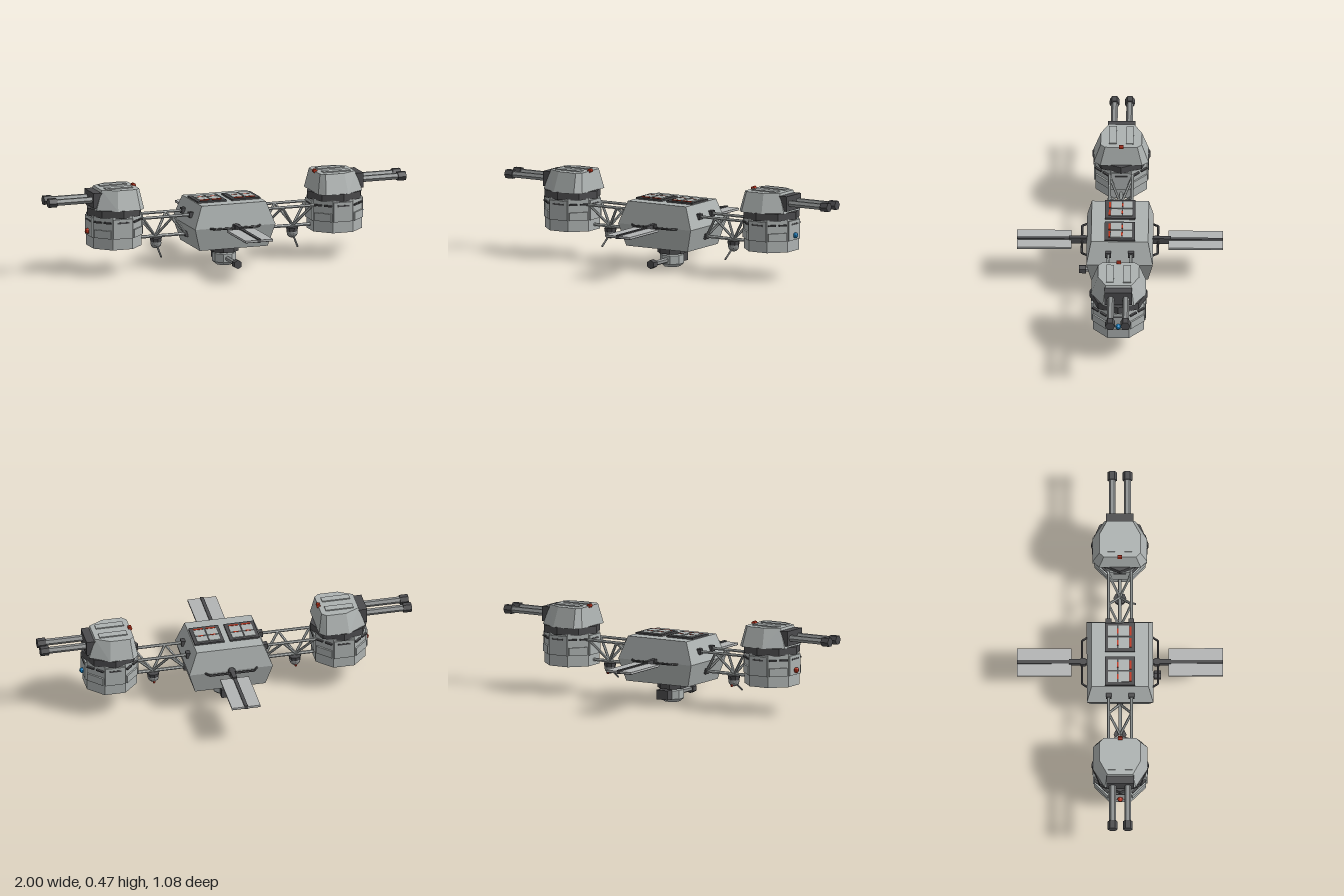
import * as THREE from 'three';
import { ConvexGeometry } from 'three/addons/geometries/ConvexGeometry.js';

const paint = (name, color) => {
  const m = new THREE.MeshStandardMaterial({ color, flatShading: true });
  m.name = name;
  return m;
};

export function createModel() {
  const hull = paint('hull grey', 0xadb2b1);
  const dark = paint('dark metal', 0x4b4b4d);
  const steel = paint('steel', 0x8f9292);
  const panel = paint('solar panel grey', 0xb2b4b4);
  const red = paint('red light', 0xc0341c);
  const blue = paint('blue light', 0x1a83c4);

  const V = (x, y, z) => new THREE.Vector3(x, y, z);
  const add = (parent, name, geo, mat, x = 0, y = 0, z = 0) => {
    const m = new THREE.Mesh(geo, mat);
    m.name = name;
    m.position.set(x, y, z);
    parent.add(m);
    return m;
  };
  const box = (p, name, mat, w, h, d, x, y, z) => add(p, name, new THREE.BoxGeometry(w, h, d), mat, x, y, z);
  // Straight rod between two points
  const rod = (p, name, mat, a, b, r, sides = 6) => {
    const dir = b.clone().sub(a);
    const c = a.clone().add(b).multiplyScalar(0.5);
    const m = add(p, name, new THREE.CylinderGeometry(r, r, dir.length(), sides), mat, c.x, c.y, c.z);
    m.quaternion.setFromUnitVectors(V(0, 1, 0), dir.normalize());
    return m;
  };
  // Octagonal prism, optionally with flat faces on the axes
  const octagon = (rTop, rBottom, h, flat) => {
    const g = new THREE.CylinderGeometry(rTop, rBottom, h, 8);
    return flat ? g.rotateY(Math.PI / 8) : g;
  };
  const group = (parent, name) => {
    const g = new THREE.Group();
    g.name = name;
    parent.add(g);
    return g;
  };
  const model = new THREE.Group();
  model.name = 'spaceStation';

  // Central hull: widest at mid height
  const core = group(model, 'centralHull');
  const corners = [];
  for (const [y, x, z] of [[0.115, 0.19, 0.15], [0.235, 0.225, 0.175], [0.355, 0.18, 0.15]])
    for (const sx of [-1, 1]) for (const sz of [-1, 1]) corners.push(V(sx * x, y, sz * z));
  add(core, 'hullShell', new ConvexGeometry(corners), hull);

  // Roof hatches with tiles and red markers
  for (const s of [-1, 1]) {
    const cx = s * 0.095;
    box(core, 'hatchFrame', dark, 0.16, 0.012, 0.16, cx, 0.358, 0);
    for (const i of [-1, 1]) {
      box(core, 'hatchTileRear', hull, 0.058, 0.006, 0.048, cx + i * 0.033, 0.365, -0.04);
      box(core, 'hatchTileFront', hull, 0.058, 0.006, 0.056, cx + i * 0.033, 0.365, 0.019);
      box(core, 'hatchMarker', red, 0.05, 0.006, 0.01, cx + i * 0.033, 0.365, 0.055);
      box(core, 'hatchMarkerSmall', red, 0.028, 0.003, 0.008, cx + i * 0.033, 0.368, -0.012);
    }
  }

  // Front and rear handrails with solar wings
  for (const s of [-1, 1]) {
    const y = 0.235;
    const rail = [V(-0.14, y, s * 0.17), V(-0.12, y, s * 0.2), V(0.12, y, s * 0.2), V(0.14, y, s * 0.17)];
    for (let i = 0; i < 3; i++) rod(core, 'handrail', dark, rail[i], rail[i + 1], 0.006);
    const wing = group(model, 'solarWing');
    box(wing, 'wingHinge', dark, 0.036, 0.03, 0.025, 0, y, s * 0.195);
    box(wing, 'wingArm', dark, 0.024, 0.034, 0.095, 0, y, s * 0.22);
    box(wing, 'wingSpar', dark, 0.018, 0.02, 0.287, 0, y, s * 0.3985);
    for (const i of [-1, 1]) {
      box(wing, 'wingPanel', panel, 0.068, 0.009, 0.287, i * 0.043, y, s * 0.3985);
      box(wing, 'wingPanelUnderside', dark, 0.066, 0.004, 0.285, i * 0.043, y - 0.006, s * 0.3985);
    }
  }

  // Belly turret
  const belly = group(model, 'bellyTurret');
  add(belly, 'turretNeck', octagon(0.077, 0.077, 0.04, true), dark, 0, 0.095, 0);
  const head = [[0, 0.003], [0.045, 0.003], [0.064, 0.02], [0.064, 0.065], [0.053, 0.077], [0, 0.077]];
  add(belly, 'turretHead', new THREE.LatheGeometry(head.map(p => new THREE.Vector2(...p)), 8).rotateY(Math.PI / 8), hull);
  rod(belly, 'turretBarrel', steel, V(0, 0.04, 0.05), V(0, 0.04, 0.185), 0.014);
  rod(belly, 'turretMuzzle', dark, V(0, 0.04, 0.18), V(0, 0.04, 0.215), 0.024);
  box(belly, 'turretCounterweight', dark, 0.07, 0.05, 0.045, 0, 0.047, -0.079);

  // Truss, sensor and gun pod on each side
  for (const s of [-1, 1]) {
    const truss = group(model, 'truss');
    const x0 = 0.195, x1 = 0.5, hi = 0.293, lo = 0.18;
    for (const z of [-0.06, 0.06]) {
      rod(truss, 'upperRail', hull, V(s * x0, hi, z), V(s * x1, hi, z), 0.008);
      box(truss, 'railSocket', dark, 0.03, 0.03, 0.03, s * 0.205, hi, z);
      const xs = [0.215, 0.305, 0.385, 0.475];
      for (let i = 0; i < 3; i++) {
        const up = i % 2;
        rod(truss, 'brace', hull, V(s * xs[i], up ? hi : lo, up ? z : 0),
          V(s * xs[i + 1], up ? lo : hi, up ? 0 : z), 0.007);
      }
    }
    rod(truss, 'lowerRail', hull, V(s * x0, lo, 0), V(s * x1, lo, 0), 0.009);
    box(truss, 'railSocket', dark, 0.03, 0.03, 0.03, s * 0.205, lo, 0);

    // Hanging sensor with whip antenna
    const sensor = group(model, 'sensor');
    add(sensor, 'sensorCap', new THREE.CylinderGeometry(0.034, 0.03, 0.022, 8), dark, s * 0.382, 0.16, 0);
    add(sensor, 'sensorBall', new THREE.IcosahedronGeometry(0.03, 1), steel, s * 0.382, 0.143, 0);
    rod(sensor, 'antenna', steel, V(s * 0.382, 0.13, 0.015), V(s * 0.382, 0.083, 0.083), 0.005);
    add(sensor, 'sensorLamp', new THREE.IcosahedronGeometry(0.007, 1), red, s * 0.382, 0.12, -0.022);

    // Gun pod, built facing +x and turned round for the other side
    const pod = group(model, s > 0 ? 'leftGunPod' : 'rightGunPod');
    if (s < 0) pod.rotation.y = Math.PI;
    const cx = 0.617;
    add(pod, 'podBase', octagon(0.146, 0.146, 0.175, true), hull, cx, 0.2375, 0);
    add(pod, 'podCollar', octagon(0.152, 0.152, 0.04, false), dark, cx, 0.34, 0);
    box(pod, 'floorPlate', steel, 0.15, 0.006, 0.1, cx, 0.15, 0);
    for (let i = 0; i < 8; i++) {
      const face = group(pod, 'podFace');
      face.position.set(cx, 0, 0);
      face.rotation.y = i * Math.PI / 4;
      const even = i % 2 === 0;
      box(face, 'armourPlate', hull, 0.014, even ? 0.105 : 0.043, even ? 0.108 : 0.1, 0.1365, even ? 0.2625 : 0.232, 0);
      for (const z of even ? [0] : [-0.029, 0.029])
        box(face, 'slot', dark, 0.016, 0.008, even ? 0.066 : 0.042, 0.138, 0.295, z);
    }

    // Tapered gun house
    const house = [];
    const plan = [[0.488, 0.11, 0.507, 0.085], [0.52, 0.144, 0.53, 0.108], [0.645, 0.144, 0.635, 0.108], [0.745, 0.082, 0.71, 0.067]];
    for (const [xb, zb, xt, zt] of plan)
      for (const m of [-1, 1]) house.push(V(xb, 0.358, m * zb), V(xt, 0.463, m * zt));
    add(pod, 'gunHouse', new ConvexGeometry(house), hull);
    for (const z of [-0.045, 0.045]) box(pod, 'roofStrip', hull, 0.15, 0.008, 0.04, 0.61, 0.465, z);
    add(pod, 'roofLamp', new THREE.CylinderGeometry(0.011, 0.011, 0.024, 8).rotateX(Math.PI / 2), red, 0.508, 0.464, 0);

    // Twin guns
    box(pod, 'gunMount', dark, 0.065, 0.08, 0.144, 0.724, 0.41, 0);
    for (const z of [-0.04, 0.04]) {
      rod(pod, 'barrel', steel, V(0.75, 0.41, z), V(0.96, 0.41, z), 0.018);
      rod(pod, 'muzzle', dark, V(0.955, 0.41, z), V(1, 0.41, z), 0.026);
    }
    add(pod, 'sideLamp', new THREE.SphereGeometry(0.015, 8, 6), s > 0 ? blue : red, 0.766, 0.235, 0);
  }
  return model;
}
